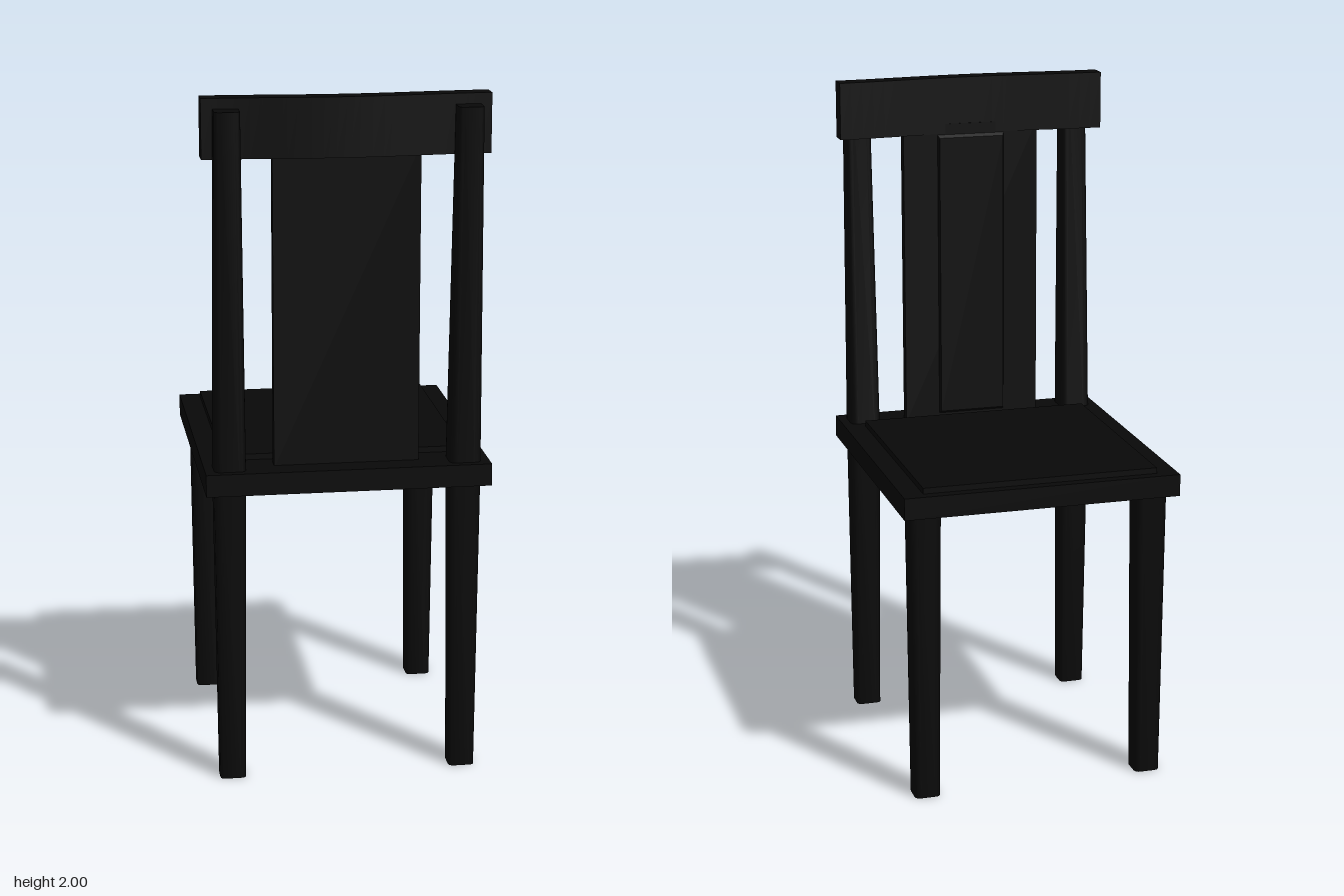
import * as THREE from 'three';
import { toCreasedNormals } from 'three/addons/utils/BufferGeometryUtils.js';

const wood = new THREE.MeshStandardMaterial({ color: 0x080808 });

function add(group, name, geometry) {
  const mesh = new THREE.Mesh(geometry, wood);
  mesh.name = name;
  group.add(mesh);
  return mesh;
}

// Box given by its lower and upper corners
function block(x0, x1, y0, y1, z0, z1, segments = 1) {
  return new THREE.BoxGeometry(x1 - x0, y1 - y0, z1 - z0, segments, 1, 1)
    .translate((x0 + x1) / 2, (y0 + y1) / 2, (z0 + z1) / 2);
}

// Tapered bar with rounded edges; each end is { x, y, z, w, d }
function taperedBar(a, b) {
  const r = 0.22, h = 0.5;
  const s = new THREE.Shape();
  s.moveTo(-h + r, -h).lineTo(h - r, -h).quadraticCurveTo(h, -h, h, -h + r)
    .lineTo(h, h - r).quadraticCurveTo(h, h, h - r, h)
    .lineTo(-h + r, h).quadraticCurveTo(-h, h, -h, h - r)
    .lineTo(-h, -h + r).quadraticCurveTo(-h, -h, -h + r, -h);
  const geo = new THREE.ExtrudeGeometry(s, { depth: 1, bevelEnabled: false, curveSegments: 4 });
  geo.rotateX(-Math.PI / 2);
  const p = geo.attributes.position;
  for (let i = 0; i < p.count; i++) {
    const t = p.getY(i);
    const mix = (k) => THREE.MathUtils.lerp(a[k], b[k], t);
    p.setXYZ(i, mix('x') + p.getX(i) * mix('w'), mix('y'), mix('z') + p.getZ(i) * mix('d'));
  }
  return toCreasedNormals(geo, 0.6);
}

export function createModel() {
  const chair = new THREE.Group();
  chair.name = 'chair';

  // Seat board and the thin raised pad on it
  add(chair, 'seat', block(-0.412, 0.412, 0.875, 0.94, -0.44, 0.44));
  add(chair, 'seatPad', block(-0.35, 0.35, 0.93, 0.957, -0.41, 0.3));

  // Legs and back posts, mirrored left and right
  for (const [side, label] of [[1, 'left'], [-1, 'right']]) {
    const x = 0.34 * side;
    add(chair, label + 'FrontLeg', taperedBar(
      { x, y: 0, z: -0.363, w: 0.076, d: 0.076 },
      { x, y: 0.89, z: -0.363, w: 0.092, d: 0.09 }));
    add(chair, label + 'BackLeg', taperedBar(
      { x, y: 0, z: 0.38, w: 0.076, d: 0.072 },
      { x, y: 0.89, z: 0.372, w: 0.092, d: 0.088 }));
    add(chair, label + 'BackPost', taperedBar(
      { x, y: 0.92, z: 0.372, w: 0.092, d: 0.09 },
      { x, y: 1.97, z: 0.4, w: 0.072, d: 0.074 }));
  }

  // Top rail, bowed backwards in the middle
  const rail = block(-0.408, 0.408, 1.83, 2, 0.316, 0.372, 24);
  const p = rail.attributes.position;
  for (let i = 0; i < p.count; i++) {
    p.setZ(i, p.getZ(i) + 0.011 * (1 + Math.cos(Math.PI * p.getX(i) / 0.408)));
  }
  add(chair, 'topRail', toCreasedNormals(rail, 0.6));

  // Back splat with a bevelled centre panel towards the sitter
  add(chair, 'backSplat', block(-0.21, 0.21, 0.93, 1.86, 0.336, 0.368));
  const panel = block(-0.105, 0.105, 0.95, 1.83, 0.324, 0.34);
  const q = panel.attributes.position;
  for (let i = 0; i < q.count; i++) {
    if (q.getZ(i) < 0.33) {
      q.setX(i, q.getX(i) * 0.95);
      q.setY(i, 1.39 + (q.getY(i) - 1.39) * 0.975);
    }
  }
  add(chair, 'splatPanel', toCreasedNormals(panel, 0.2));

  return chair;
}
